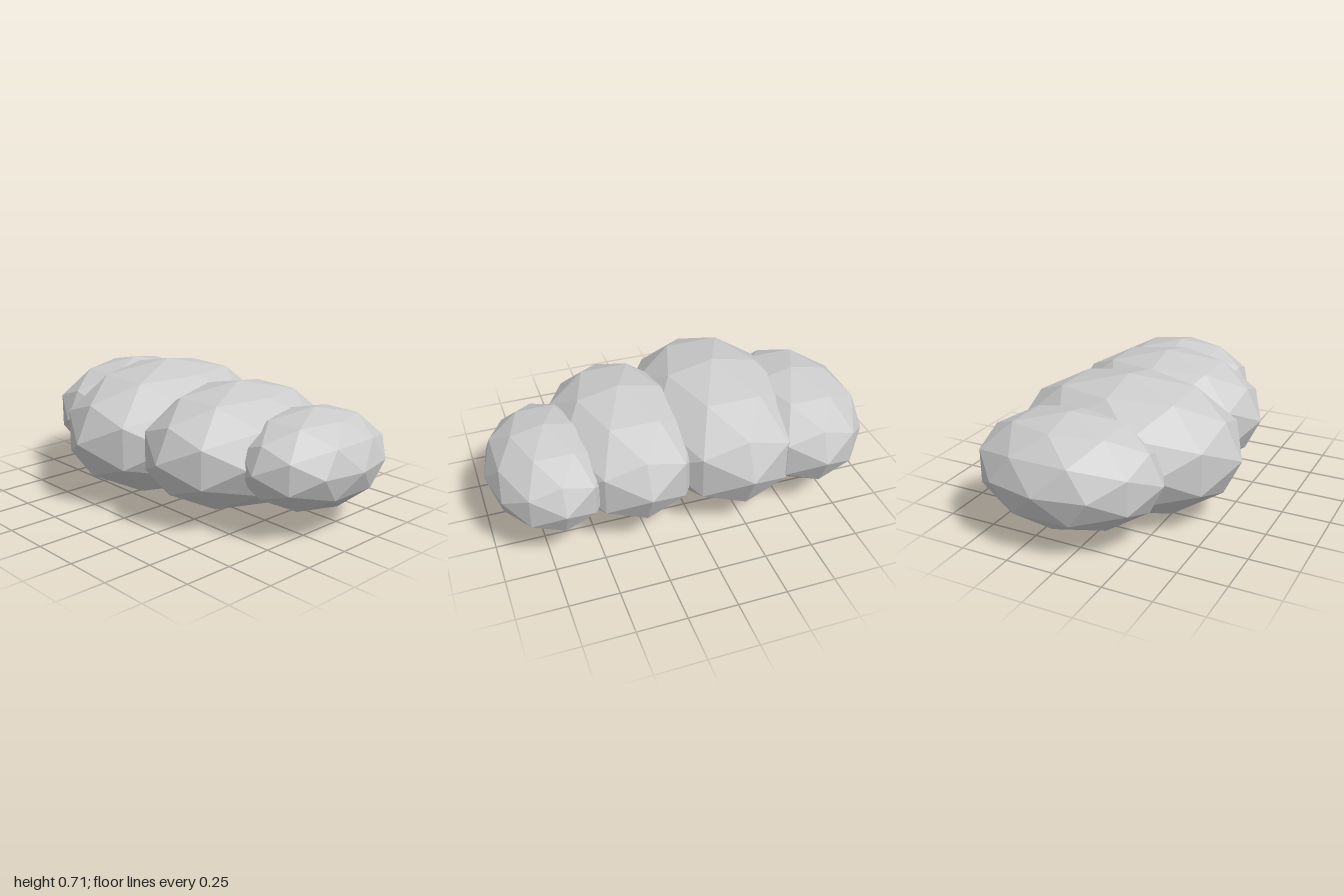
import * as THREE from 'three';

// Low-poly cloud: four overlapping faceted puffs of one shape at different sizes
export function createModel() {
  const group = new THREE.Group();
  group.name = 'cloud';

  const material = new THREE.MeshStandardMaterial({ color: 0xcccccc, flatShading: true });

  // Full-size puff: half-extents along x, y, z
  const radii = new THREE.Vector3(0.45, 0.355, 0.606);
  const puffGeometry = new THREE.IcosahedronGeometry(1, 1).scale(radii.x, radii.y, radii.z);

  // Puffs along the cloud, all centred at the same height
  const puffs = [
    { name: 'rightPuff', x: -0.638, z: -0.103, size: 0.8 },
    { name: 'largePuff', x: -0.235, z: 0, size: 1 },
    { name: 'middlePuff', x: 0.274, z: -0.026, size: 0.9 },
    { name: 'leftPuff', x: 0.682, z: -0.127, size: 0.7 },
  ];

  for (const { name, x, z, size } of puffs) {
    const puff = new THREE.Mesh(puffGeometry, material);
    puff.name = name;
    puff.position.set(x, radii.y, z);
    puff.scale.setScalar(size);
    group.add(puff);
  }

  return group;
}
